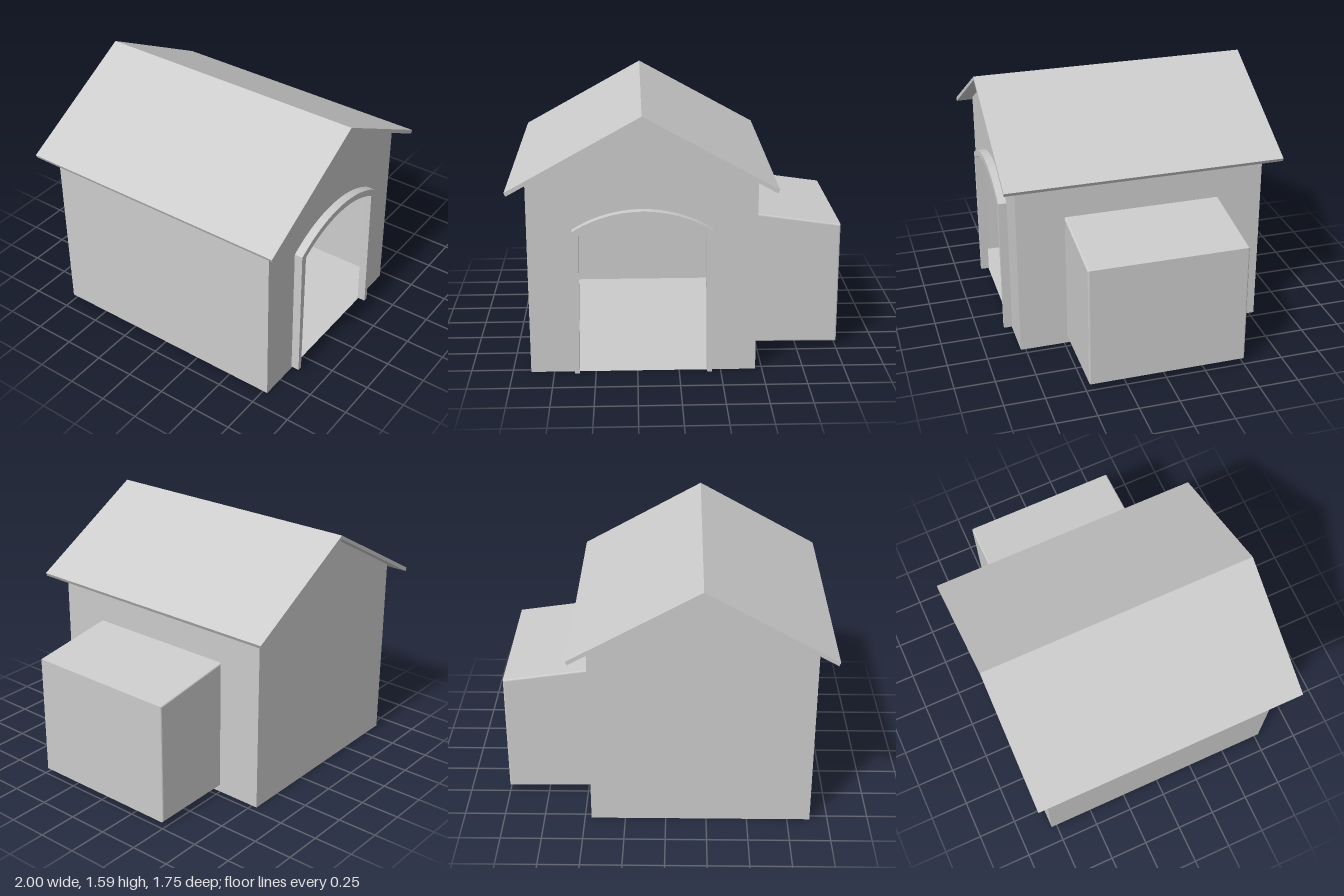
import * as THREE from 'three';

const CX = -0.215; // centre line of the house
const HALF = 0.675; // half width of the house
const FRONT = 0.78, BACK = -0.785;
const EAVE = 1.195, GABLE = 1.565;

const mat = new THREE.MeshStandardMaterial({ color: 0xcccccc });
const sheet = new THREE.MeshStandardMaterial({ color: 0xcccccc, side: THREE.DoubleSide });

function add(parent, name, geometry, material = mat) {
  const mesh = new THREE.Mesh(geometry, material);
  mesh.name = name;
  parent.add(mesh);
  return mesh;
}

function polygon(points) {
  return new THREE.Shape(points.map(([x, y]) => new THREE.Vector2(x, y)));
}

// Points up one door side, over the shallow arch and down the other side
function archPoints(footHalf, half, spring, crown, bottom) {
  const sag = crown - spring;
  const r = (half * half + sag * sag) / (2 * sag);
  const a = Math.asin(half / r);
  const pts = [[CX - footHalf, bottom]];
  for (let i = 0; i <= 24; i++) {
    const t = -a + (2 * a * i) / 24;
    pts.push([CX + r * Math.sin(t), crown - r + r * Math.cos(t)]);
  }
  pts.push([CX + footHalf, bottom]);
  return pts;
}

export function createModel() {
  const model = new THREE.Group();
  model.name = 'animalHouse';

  // Thin shell: gable walls, side walls and floor
  const house = new THREE.Group();
  house.name = 'house';
  model.add(house);
  const gable = [
    [CX + HALF, 0], [CX + HALF, EAVE], [CX, GABLE], [CX - HALF, EAVE], [CX - HALF, 0],
  ];
  const doorway = archPoints(0.382, 0.37, 0.875, 0.98, 0);
  const frontWall = add(house, 'frontWall', new THREE.ShapeGeometry(polygon([...gable, ...doorway])), sheet);
  frontWall.position.z = FRONT;
  const backWall = add(house, 'backWall', new THREE.ShapeGeometry(polygon(gable)), sheet);
  backWall.position.z = BACK;
  backWall.rotation.y = Math.PI;
  backWall.position.x = 2 * CX;

  const depth = FRONT - BACK, midZ = (FRONT + BACK) / 2;
  for (const s of [-1, 1]) {
    const wall = add(house, s > 0 ? 'leftWall' : 'rightWall', new THREE.PlaneGeometry(depth, EAVE), sheet);
    wall.rotation.y = s * Math.PI / 2;
    wall.position.set(CX + s * HALF, EAVE / 2, midZ);
  }
  const floor = add(house, 'floor', new THREE.PlaneGeometry(2 * HALF, depth), sheet);
  floor.rotation.x = Math.PI / 2;
  floor.position.set(CX, 0, midZ);

  // Raised arched door surround
  const outer = archPoints(0.41, 0.41, 0.9, 1.02, 0.01);
  const inner = archPoints(0.382, 0.37, 0.875, 0.98, 0.01).reverse();
  const frame = add(model, 'doorFrame', new THREE.ExtrudeGeometry(polygon([...outer, ...inner]), {
    depth: 0.052, bevelEnabled: false,
  }));
  frame.position.z = FRONT;

  // Folded roof sheet, its left slope set slightly back at the eave
  const roofGeo = new THREE.ExtrudeGeometry(polygon([
    [CX, 1.588], [-1, 1.152], [-0.99, 1.13], [CX, GABLE], [0.562, 1.13], [0.573, 1.152],
  ]), { depth: 1.74, bevelEnabled: false });
  roofGeo.translate(0, 0, -0.867);
  const p = roofGeo.attributes.position;
  for (let i = 0; i < p.count; i++) {
    if (p.getX(i) > 0.5) p.setZ(i, p.getZ(i) - 0.01);
  }
  roofGeo.computeVertexNormals();
  add(model, 'roof', roofGeo);

  // Side box with sloping lid and softened outer edges
  const b = 0.01;
  const boxGeo = new THREE.ExtrudeGeometry(polygon([
    [0.46 + b, 0.047 + b], [1 - b, 0.043 + b], [1 - b, 0.815 - b], [0.46 + b, 0.89 - b],
  ]), { depth: 0.985 - 2 * b, bevelSize: b, bevelThickness: b, bevelSegments: 3 });
  boxGeo.translate(0, 0, -0.503 + b);
  add(model, 'sideBox', boxGeo);

  return model;
}
